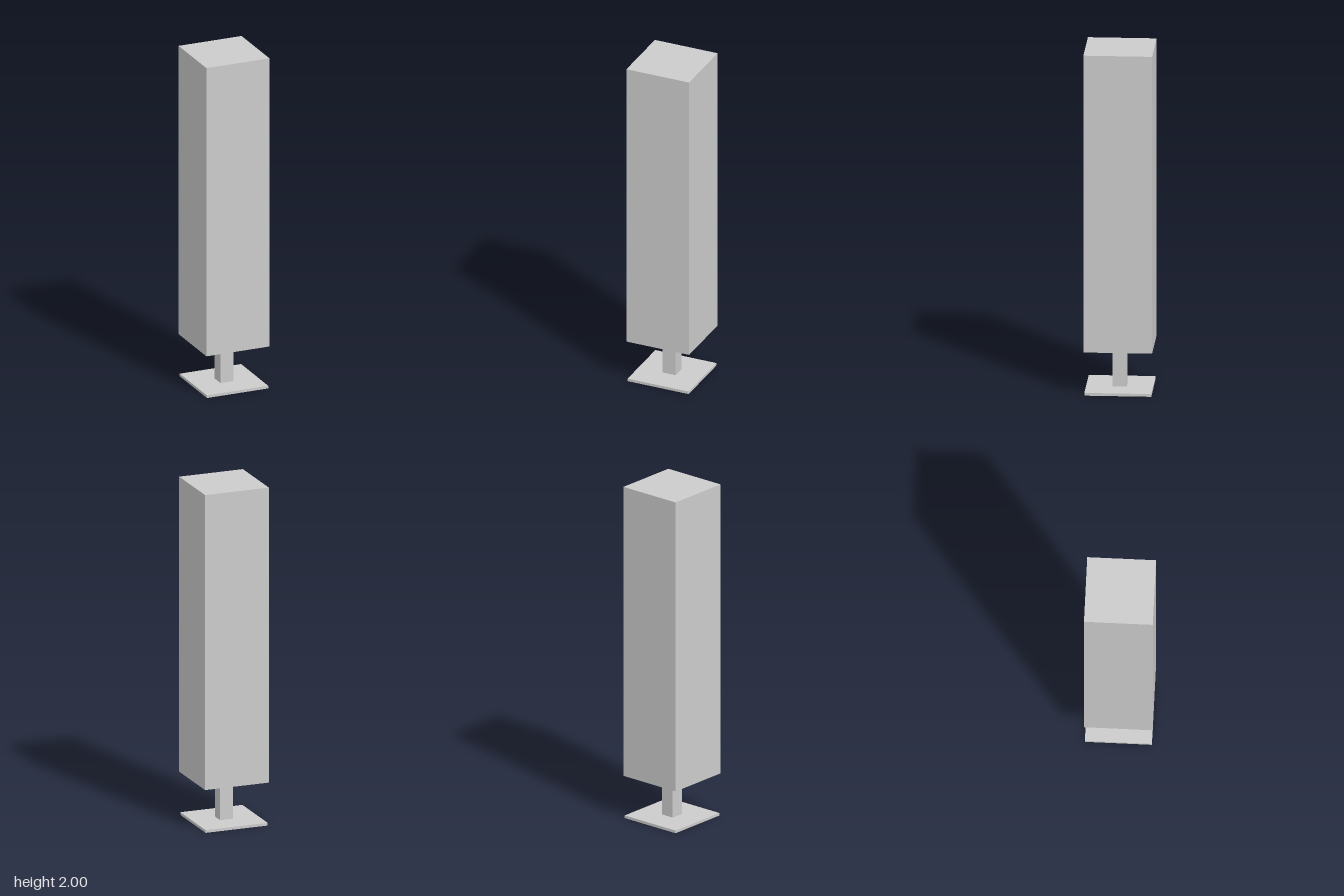
import * as THREE from 'three';

const material = new THREE.MeshStandardMaterial({ color: 0xcccccc, flatShading: true });

// Closed square outline of the given half width
function square(path, h) {
  path.moveTo(-h, -h);
  path.lineTo(h, -h);
  path.lineTo(h, h);
  path.lineTo(-h, h);
  path.closePath();
  return path;
}

// Square slab with a square hole, standing upright from y0 to y1
function squareTube(name, outer, inner, y0, y1) {
  const shape = square(new THREE.Shape(), outer);
  shape.holes.push(square(new THREE.Path(), inner));
  const geometry = new THREE.ExtrudeGeometry(shape, { depth: y1 - y0, bevelEnabled: false });
  geometry.rotateX(-Math.PI / 2).translate(0, y0, 0);
  const mesh = new THREE.Mesh(geometry, material);
  mesh.name = name;
  return mesh;
}

export function createModel() {
  const group = new THREE.Group();
  group.name = 'pillarOnStand';

  const plateTop = 0.016, bodyBottom = 0.255, bore = 0.037;

  // Floor plate, pierced under the hollow post
  group.add(squareTube('basePlate', 0.19, bore, 0, plateTop));

  // Hollow square post
  group.add(squareTube('post', 0.04, bore, plateTop, bodyBottom));

  // Tall square body
  const height = 2 - bodyBottom;
  const body = new THREE.Mesh(new THREE.BoxGeometry(0.39, height, 0.39), material);
  body.name = 'body';
  body.position.y = bodyBottom + height / 2;
  group.add(body);

  return group;
}
